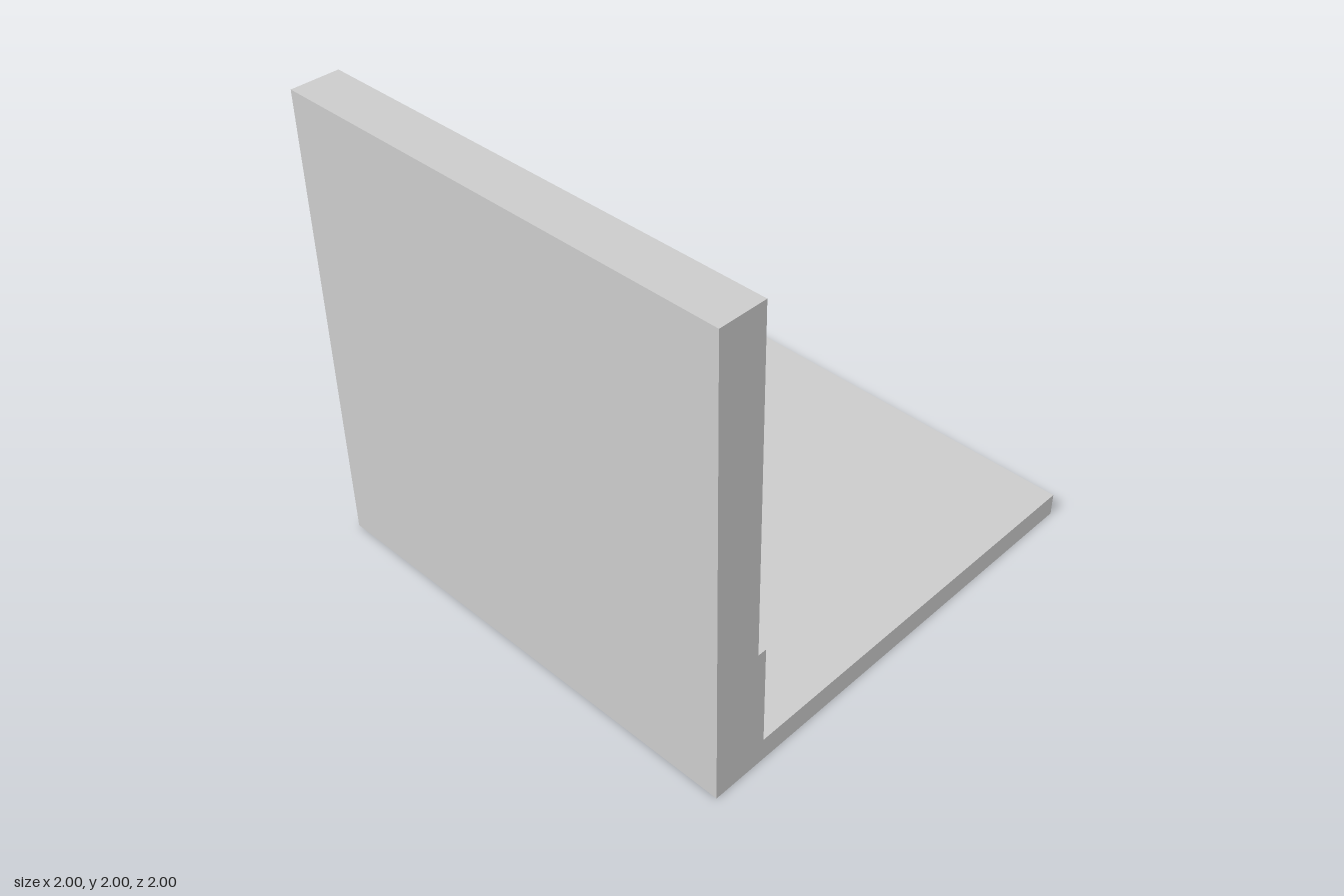
import * as THREE from 'three';

const WALL_FACE = -0.8;

export function createModel() {
  const group = new THREE.Group();
  const material = new THREE.MeshStandardMaterial({ color: 0xcccccc, flatShading: true });

  function add(name, geometry) {
    const mesh = new THREE.Mesh(geometry, material);
    mesh.name = name;
    group.add(mesh);
  }

  // Box spanning the full depth, given by its x and y limits
  function slab(name, x0, x1, y0, y1) {
    const geometry = new THREE.BoxGeometry(x1 - x0, y1 - y0, 2);
    add(name, geometry.translate((x0 + x1) / 2, (y0 + y1) / 2, 0));
  }

  slab('floor', -1, 1, 0, 0.1);
  slab('wall', -1, WALL_FACE, 0.1, 2);
  slab('wainscot', WALL_FACE, -0.762, 0.1, 0.55);

  // Raised rear panel with a sloping top; profile is (-z, y), extruded along x
  const profile = new THREE.Shape([
    [0.5, 0.55], [1, 0.55], [1, 1.95], [0.5, 1.5],
  ].map(([x, y]) => new THREE.Vector2(x, y)));
  const panel = new THREE.ExtrudeGeometry(profile, { depth: 0.034, bevelEnabled: false });
  add('slopedPanel', panel.rotateY(Math.PI / 2).translate(WALL_FACE, 0, 0));

  return group;
}
